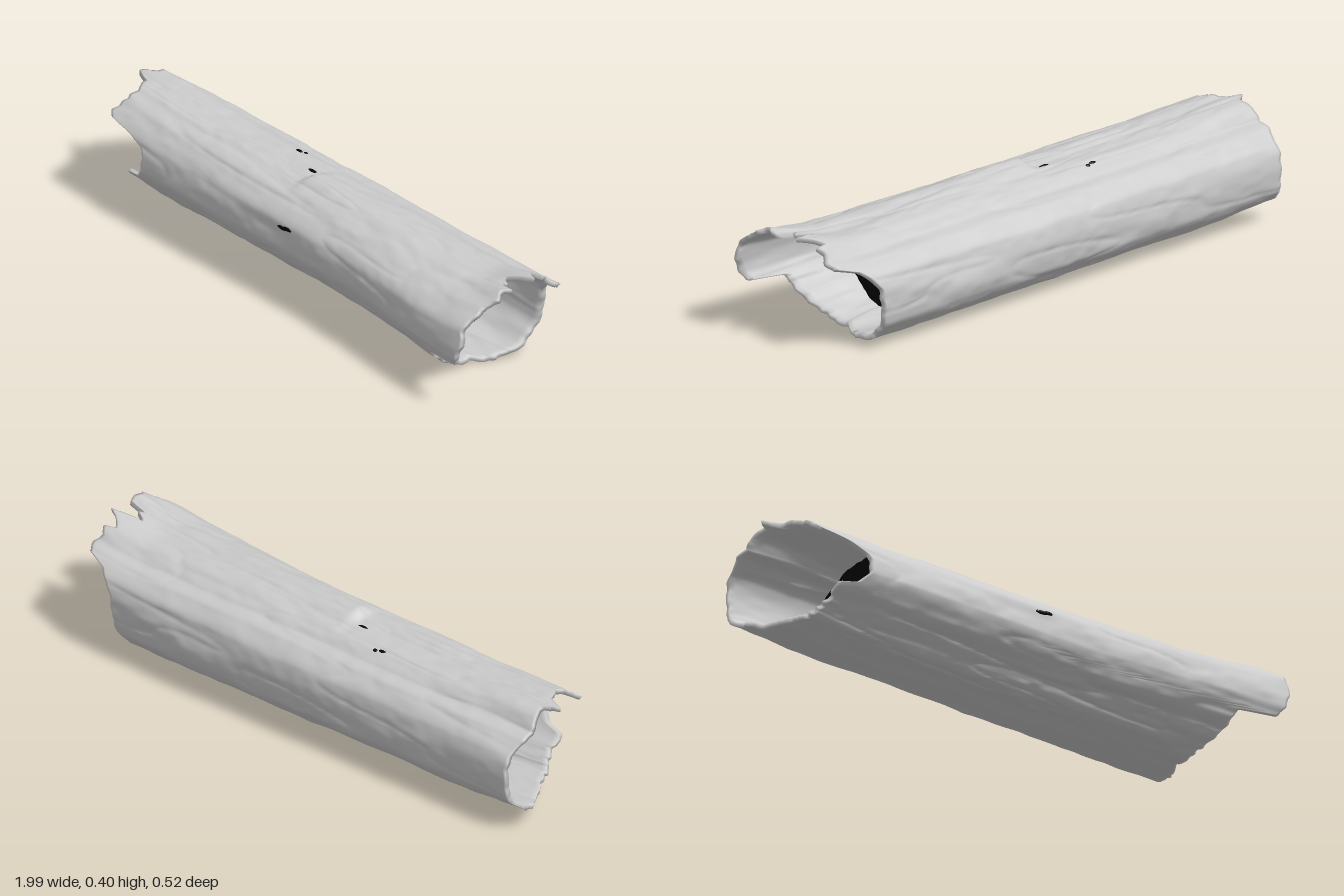
import * as THREE from 'three';

const CY = 0.195;      // height of the log's axis
const WALL = 0.016;    // bark thickness
const lerp = THREE.MathUtils.lerp;
const step = THREE.MathUtils.smoothstep;

// Cross-section: [angle, radius], 0 = front, 90 = top
const SECTION = [[0, .25], [20, .25], [40, .22], [60, .192], [90, .163], [110, .174], [125, .188], [139, .197],
  [150, .228], [165, .25], [180, .255], [200, .26], [220, .238], [240, .205], [270, .175], [290, .176], [310, .183],
  [330, .2], [345, .225]];

// Broken ends: [angle, x]
const RIGHT_END = [[0, .94], [10, .96], [30, .96], [45, .97], [55, .99], [62, .97], [70, .98], [77, .97], [80, .9],
  [85, .92], [92, .88], [96, .87], [108, .97], [113, .93], [124, .9], [128, .94], [135, .92], [142, .94], [150, .93],
  [156, .85], [165, .81], [172, .78], [200, .76], [230, .75], [250, .73], [270, .7], [300, .72], [320, .74],
  [335, .76], [348, .77], [350, .79], [352, .92]];
const LEFT_END = [[0, -.725], [10, -.72], [16, -.74], [22, -.8], [25, -.9], [30, -.92], [42, -.91], [60, -.9],
  [75, -.92], [85, -.94], [95, -1], [100, -.99], [108, -.96], [125, -.97], [150, -.98], [160, -.97], [200, -.97],
  [215, -1], [230, -.98], [245, -.95], [260, -.92], [280, -.88], [300, -.86], [325, -.83], [346, -.83], [350, -.76]];

// Interpolate a table around the full circle
function around(table, deg, smooth = false) {
  deg = ((deg % 360) + 360) % 360;
  let i = table.length - 1;
  while (i > 0 && table[i][0] > deg) i--;
  const [a0, v0] = table[i];
  const [a1, v1] = i + 1 < table.length ? table[i + 1] : [360, table[0][1]];
  const t = (deg - a0) / (a1 - a0);
  return lerp(v0, v1, smooth ? t * t * (3 - 2 * t) * .4 + t * .6 : t);
}

// Value noise that wraps around the trunk (n cells per turn)
function hash(i, j, s) {
  const h = Math.sin(i * 127.1 + j * 311.7 + s * 74.7) * 43758.5453;
  return h - Math.floor(h);
}
function noise(deg, x, n, fx, s) {
  const u = (((deg / 360) % 1) + 1) % 1 * n, v = x * fx + 50;
  const i = Math.floor(u), j = Math.floor(v);
  const a = step(u - i, 0, 1), b = step(v - j, 0, 1), k = (i + 1) % n;
  return lerp(lerp(hash(i % n, j, s), hash(k, j, s), a),
    lerp(hash(i % n, j + 1, s), hash(k, j + 1, s), a), b) * 2 - 1;
}

// Smooth bump around an angle
const bump = (deg, centre, width) => Math.exp(-(((deg - centre) / width) ** 2));

// Point on the trunk at an angle and x, moved inward by inset
function trunkPoint(deg, x, inset) {
  const a = THREE.MathUtils.degToRad(deg), c = Math.cos(a), s = Math.sin(a);
  const groove = 1 - Math.abs(noise(deg + x * 12, x, 26, 2.5, 3));
  const flare = step(x, .2, .95);
  // sloping lower front, and an upper back that tapers in at the left end
  const flats = .016 * bump(deg, 322, 20) * (1 - flare) + .024 * bump(deg, 145, 17) * step(-x, .45, 1);
  const r = around(SECTION, deg, true) - inset - flats
    + .006 * noise(deg, x, 13, 2.5, 1) + .003 * noise(deg, x, 34, 7, 2)
    + .0015 * noise(deg, x, 60, 22, 5) - .004 * groove ** 6;
  const zScale = c > 0 ? lerp(.82, 1.03, flare) : lerp(.93, 1.02, step(x, -1, .75));
  const top = Math.max(0, s), bottom = Math.max(0, -s);
  // raised strip of bark along the top
  const strip = .026 * step(x, -.1, -.06) * (1 - step(x, 0, .65)) * bump(deg, 85, 22);
  // lifted, ragged lips at both ends
  const lip = top * (step(x, .75, 1) * (.034 + .014 * noise(deg, 0, 22, 1, 7)) + .018 * step(-x, .5, 1));
  const rise = bottom * (.02 * step(-x, .6, 1) - .008 * step(x, .4, .75));
  return new THREE.Vector3(x, CY + r * s + strip + lip + rise - .008 * x, r * c * zScale);
}

// Grid surface wrapped around the trunk; optionally closed lengthwise too
function wrapGrid(nu, nv, point, closed) {
  const pos = [], index = [];
  for (let i = 0; i < nu; i++)
    for (let j = 0; j < nv; j++) pos.push(...point(i / nu * 360, j).toArray());
  for (let i = 0; i < nu; i++)
    for (let j = 0; j < (closed ? nv : nv - 1); j++) {
      const k = (i + 1) % nu, l = (j + 1) % nv;
      const a = i * nv + j, b = i * nv + l, c = k * nv + j, d = k * nv + l;
      index.push(a, b, d, a, d, c);
    }
  const g = new THREE.BufferGeometry();
  g.setAttribute('position', new THREE.Float32BufferAttribute(pos, 3));
  g.setIndex(index);
  g.computeVertexNormals();
  return g;
}

export function createModel() {
  const group = new THREE.Group();
  const bark = new THREE.MeshStandardMaterial({ color: 0xcccccc, side: THREE.DoubleSide });
  const dark = new THREE.MeshStandardMaterial({ color: 0x050505, flatShading: true });
  const add = (name, geometry, material) => {
    const mesh = new THREE.Mesh(geometry, material);
    mesh.name = name;
    group.add(mesh);
    return mesh;
  };

  // Hollow trunk: outer bark runs left to right, inner wall runs back
  const OUT = 170, INN = 70;
  add('hollowTrunk', wrapGrid(240, OUT + INN, (deg, j) => {
    const x0 = around(LEFT_END, deg) + .006 * noise(deg, 0, 70, 1, 8);
    const x1 = around(RIGHT_END, deg) + .006 * noise(deg, 0, 70, 1, 9);
    const outer = j < OUT;
    const t = outer ? j / (OUT - 1) : 1 - (j - OUT) / (INN - 1);
    const x = THREE.MathUtils.clamp(lerp(x0, x1, t), -1, 1);
    return trunkPoint(deg, x, outer ? 0 : WALL);
  }, true), bark);

  // Dark core that closes the hollow, with a flat cap at each end
  const ROWS = 16;
  add('darkCore', wrapGrid(28, ROWS, (deg, j) => {
    const x = lerp(-.6, .54, THREE.MathUtils.clamp((j - 1) / (ROWS - 3), 0, 1));
    return j === 0 || j === ROWS - 1 ? new THREE.Vector3(x, CY, 0) : trunkPoint(deg, x, WALL - .002);
  }, false), dark);

  // Small knot holes: [angle, x, half length]
  for (const [deg, x, len] of [[17, -.015, .026], [18, .01, .022], [99, -.13, .022], [122, -.28, .016], [124, -.255, .01]]) {
    const hole = add('knotHole', new THREE.SphereGeometry(1, 12, 8), dark);
    hole.scale.set(len, .007, .007);
    hole.position.copy(trunkPoint(deg, x, .003));
  }

  // Stand the log on the ground
  const box = new THREE.Box3().setFromObject(group);
  group.children.forEach((m) => { m.position.y -= box.min.y; });
  return group;
}
